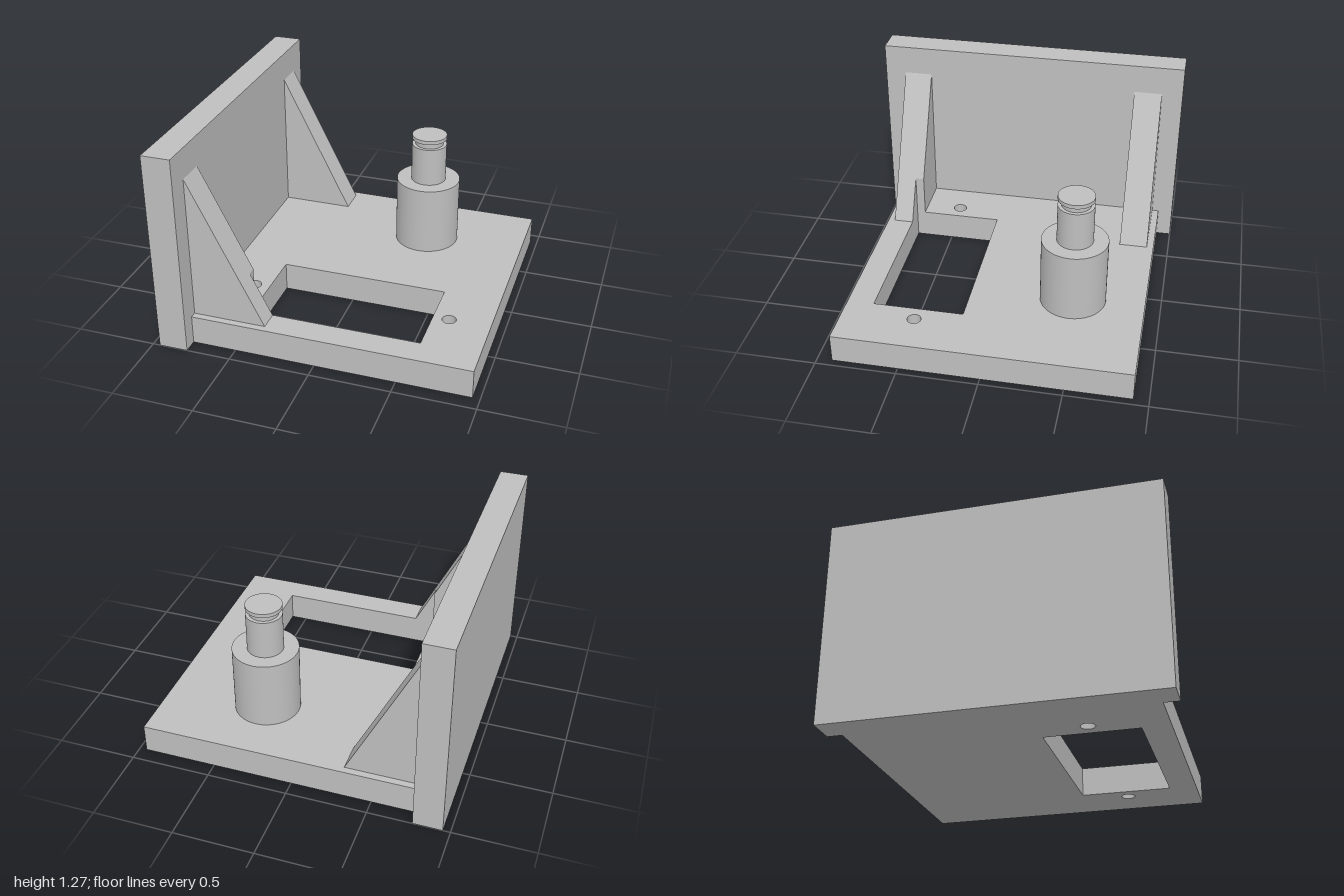
import * as THREE from 'three';

export function createModel() {
  const model = new THREE.Group();
  const grey = new THREE.MeshStandardMaterial({ color: 0xbfbfbf });
  grey.name = 'plain grey';

  const add = (name, geometry, parent = model) => {
    const mesh = new THREE.Mesh(geometry, grey);
    mesh.name = name;
    parent.add(mesh);
    return mesh;
  };
  const polygon = (points) => new THREE.Shape(points.map(([x, y]) => new THREE.Vector2(x, y)));

  const wallX = -0.775, endX = 0.955, baseTop = 0.183, baseZ = 0.908;
  const cutX = -0.455, cutEndX = 0.6, cutZ0 = 0.175, cutZ1 = 0.74;

  // Upright wall
  add('wall', new THREE.BoxGeometry(0.18, 1.275, 2)).position.set(wallX - 0.09, 0.6375, 0);

  // Base plate with a rectangular cutout and two screw holes, drawn in (x, -z)
  const plate = polygon([[wallX, -baseZ], [endX, -baseZ], [endX, baseZ], [wallX, baseZ]]);
  plate.holes.push(polygon([[cutX, -cutZ0], [cutEndX, -cutZ0], [cutEndX, -cutZ1], [cutX, -cutZ1]]));
  for (const x of [-0.555, 0.7]) {
    plate.holes.push(new THREE.Path().absarc(x, -0.457, 0.043, 0, Math.PI * 2, true));
  }
  const plateGeometry = new THREE.ExtrudeGeometry(plate, {
    depth: baseTop, bevelEnabled: false, curveSegments: 24,
  });
  add('basePlate', plateGeometry.rotateX(-Math.PI / 2));

  // Triangular ribs; the front one is trimmed where it crosses the cutout
  const ribTop = 1.09, footX = -0.32;
  const slopeY = ribTop + (baseTop - ribTop) * (cutX - wallX) / (footX - wallX);
  const triangle = [[wallX, baseTop], [footX, baseTop], [wallX, ribTop]];
  const trimmed = [[wallX, baseTop], [cutX, baseTop], [cutX, slopeY], [wallX, ribTop]];
  const addRib = (name, points, z0, z1, parent) => {
    const geometry = new THREE.ExtrudeGeometry(polygon(points), { depth: z1 - z0, bevelEnabled: false });
    add(name, geometry, parent).position.z = z0;
  };
  addRib('backRib', triangle, -0.865, -0.685, model);
  const frontRib = new THREE.Group();
  frontRib.name = 'frontRib';
  model.add(frontRib);
  addRib('frontRibOuter', triangle, cutZ1, 0.865, frontRib);
  addRib('frontRibTrimmed', trimmed, 0.685, cutZ1, frontRib);

  // Stepped post: body, shaft, groove and cap
  const post = new THREE.Group();
  post.name = 'post';
  post.position.set(0.315, 0, -0.46);
  model.add(post);
  const steps = [
    ['postBody', 0.205, baseTop, 0.627],
    ['postShaft', 0.112, 0.627, 0.877],
    ['postGroove', 0.09, 0.877, 0.915],
    ['postCap', 0.112, 0.915, 0.94],
  ];
  for (const [name, radius, y0, y1] of steps) {
    add(name, new THREE.CylinderGeometry(radius, radius, y1 - y0, 64), post).position.y = (y0 + y1) / 2;
  }

  return model;
}
